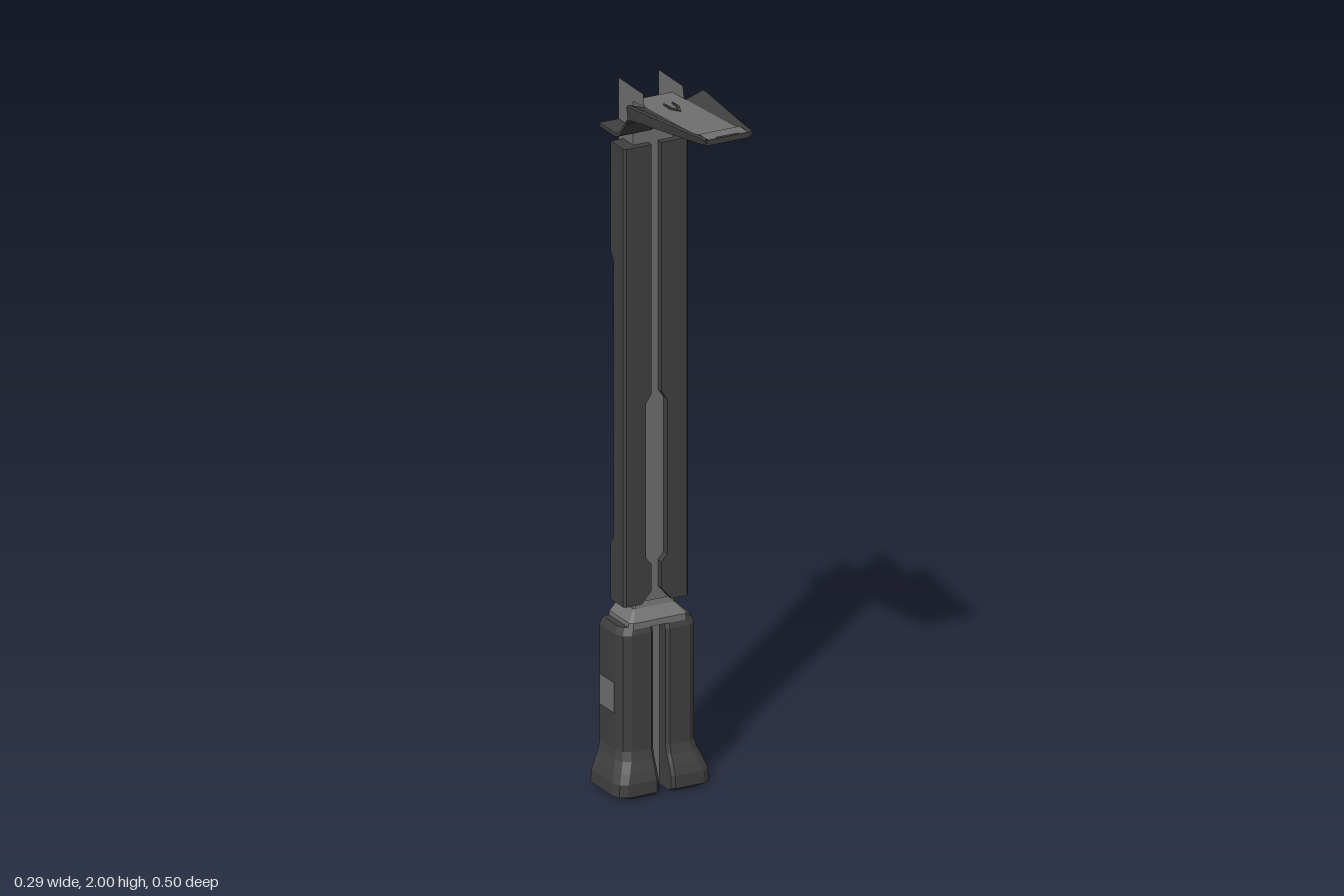
import * as THREE from 'three';

const material = (color) => new THREE.MeshStandardMaterial({ color, flatShading: true, side: THREE.DoubleSide });
const dark = material(0x404040);
const light = material(0x707070);

// Skins consecutive cross-sections (rows of [x, y, z]) with flat-shaded quads.
function skin(name, rows, mat) {
  const pos = [];
  for (let r = 0; r < rows.length - 1; r++) {
    for (let i = 0; i < rows[r].length - 1; i++) {
      const a = rows[r][i], b = rows[r][i + 1], c = rows[r + 1][i + 1], d = rows[r + 1][i];
      pos.push(...a, ...c, ...b, ...a, ...d, ...c);
    }
  }
  const geo = new THREE.BufferGeometry();
  geo.setAttribute('position', new THREE.Float32BufferAttribute(pos, 3));
  geo.computeVertexNormals();
  const mesh = new THREE.Mesh(geo, mat);
  mesh.name = name;
  return mesh;
}

function box(name, w, h, d, x, y, z, mat) {
  const mesh = new THREE.Mesh(new THREE.BoxGeometry(w, h, d), mat);
  mesh.position.set(x, y, z);
  mesh.name = name;
  return mesh;
}

// Open-backed channel cross-section of half width w and front face at z.
const channel = (y, w, z, c = 0) => [
  [-w, y, -0.25], [-w, y, z - c], [-w + c, y, z], [w - c, y, z], [w, y, z - c], [w, y, -0.25],
];

// Everything that exists once per side, built on +x.
function createSide() {
  const side = new THREE.Group();

  // Post cover: the front slot and back edge change with height.
  const cover = [
    [0.53, 0.045, -0.225], [0.565, 0.015, -0.225], [0.64, 0.015, -0.225], [0.66, 0.032, -0.225],
    [0.69, 0.032, -0.225], [0.71, 0.032, -0.21], [1.1, 0.032, -0.21], [1.125, 0.015, -0.21],
    [1.5, 0.015, -0.21], [1.52, 0.015, -0.225], [1.835, 0.015, -0.225],
  ].map(([y, inner, back]) => [
    [inner, y, -0.17], [inner, y, -0.15], [0.091, y, -0.15], [0.098, y, -0.157], [0.098, y, back], [0.06, y, back],
  ]);
  const closeRow = (row) => row.map(([, y]) => [0.06, y, -0.18]);
  side.add(skin('postCover', [closeRow(cover[0]), ...cover, closeRow(cover[cover.length - 1])], dark));

  // Base shell with a flared foot and a bevelled top.
  const shell = [
    [0.01, 0.145, -0.097], [0.045, 0.143, -0.098], [0.07, 0.134, -0.107], [0.1, 0.122, -0.121],
    [0.125, 0.118, -0.128], [0.455, 0.118, -0.128], [0.475, 0.108, -0.136],
  ].map(([y, w, z]) => [
    [0.019, y, -0.17], [0.019, y, z - 0.008], [0.028, y, z], [w - 0.03, y, z],
    [w - 0.01, y, z - 0.012], [w, y, z - 0.035], [w, y, -0.25],
  ]);
  const top = shell[shell.length - 1].map(([x, y, z]) => [Math.min(x, 0.06), y, Math.min(z, -0.17)]);
  side.add(skin('baseShell', [...shell, top], dark));
  const floor = shell[0].slice(0, 6);
  side.add(skin('footSole', [floor.map(([x]) => [Math.min(x, 0.1), 0, -0.17]),
    floor.map(([x, , z]) => [Math.min(x, 0.09), 0, z - 0.012]), floor], dark));
  side.add(box('sidePatch', 0.004, 0.086, 0.08, 0.118, 0.272, -0.206, light));

  // Lamp head: trough wall, rim and underside from nose to rear.
  const head = [
    [0.25, 0.073, 2, 1.98], [0.225, 0.075, 1.999, 1.973], [0.15, 0.085, 1.995, 1.965],
    [-0.08, 0.117, 1.986, 1.942], [-0.1, 0.119, 1.984, 1.935],
  ];
  side.add(skin('headWall', head.map(([z, w, t, b]) => [
    [0.06, panelY(z), z], [w - 0.006, t, z], [w, t - 0.004, z], [w - 0.004, b + 0.003, z], [w - 0.012, b, z],
  ]), dark));
  side.add(skin('headUnderside', head.map(([z, w, , b]) => [[z < 0 ? 0.015 : 0, b, z], [w - 0.012, b, z]]), dark));

  // Swept flap that ties the head back to the post.
  const flap = [
    [-0.1, 1.935], [-0.115, 1.918], [-0.135, 1.893], [-0.15, 1.882], [-0.165, 1.877], [-0.25, 1.877],
  ];
  side.add(skin('headFlap', flap.map(([z, y]) => [
    [0.015, y - 0.005, z], [0.118, y - 0.005, z], [0.118, y + 0.006, z], [0.015, y + 0.006, z], [0.015, y - 0.005, z],
  ]), dark));

  // Upper cheek between the post and the head.
  side.add(skin('cheek', [
    [[0.06, 1.96, -0.17], [0.06, 1.965, -0.108]],
    [[0.06, 2, -0.17], [0.06, 2, -0.115]],
  ], light));
  return side;
}

// Height of the head's sunken top panel along z.
function panelY(z) {
  return 1.962 + (z + 0.17) * 0.065;
}

export function createModel() {
  const model = new THREE.Group();
  model.name = 'lampPost';

  // Core channel, open at the back, with side sheets running to the top.
  model.add(skin('postCore', [channel(0.005, 0.06, -0.17), channel(1.96, 0.06, -0.17)], light));
  for (const s of [-1, 1]) {
    model.add(skin('topSheet', [
      [[s * 0.06, 1.96, -0.25], [s * 0.06, 1.96, -0.17]],
      [[s * 0.06, 2, -0.25], [s * 0.06, 2, -0.17]],
    ], light));
  }

  // Sloped collar between base and post.
  model.add(skin('collar', [
    channel(0.47, 0.09, -0.133, 0.01), channel(0.487, 0.088, -0.134, 0.01),
    channel(0.515, 0.062, -0.162, 0.004), channel(0.532, 0.06, -0.166, 0.004),
  ], light));

  // Mirrored halves.
  const left = createSide();
  left.name = 'leftSide';
  const right = createSide();
  right.name = 'rightSide';
  right.scale.x = -1;
  model.add(left, right);

  // Top panel and nose of the head.
  model.add(skin('topPanel', [-0.175, 0.25].map((z) => [[-0.06, panelY(z), z], [0.06, panelY(z), z]]), light));
  model.add(skin('headNose', [
    [[-0.073, 1.996, 0.25], [0.073, 1.996, 0.25]],
    [[-0.061, 1.98, 0.25], [0.061, 1.98, 0.25]],
  ], dark));

  // Framed plate and tab near the nose.
  model.add(box('plateFrame', 0.132, 0.006, 0.058, 0, 1.988, 0.22, dark));
  model.add(box('plate', 0.122, 0.006, 0.05, 0, 1.99, 0.22, light));
  model.add(box('plateTab', 0.066, 0.006, 0.01, 0, 1.992, 0.243, dark));

  // Small V-shaped vent on the panel.
  const vent = new THREE.Shape();
  vent.moveTo(-0.013, 0.09);
  vent.lineTo(-0.015, 0.05);
  vent.lineTo(0, 0.016);
  vent.lineTo(0.015, 0.05);
  vent.lineTo(0.013, 0.09);
  vent.lineTo(0.007, 0.05);
  vent.lineTo(0, 0.034);
  vent.lineTo(-0.007, 0.05);
  const ventMesh = new THREE.Mesh(new THREE.ExtrudeGeometry(vent, { depth: 0.008, bevelEnabled: false }), dark);
  ventMesh.rotation.x = -Math.PI / 2;
  ventMesh.position.y = 1.966;
  ventMesh.name = 'vent';
  model.add(ventMesh);

  return model;
}
